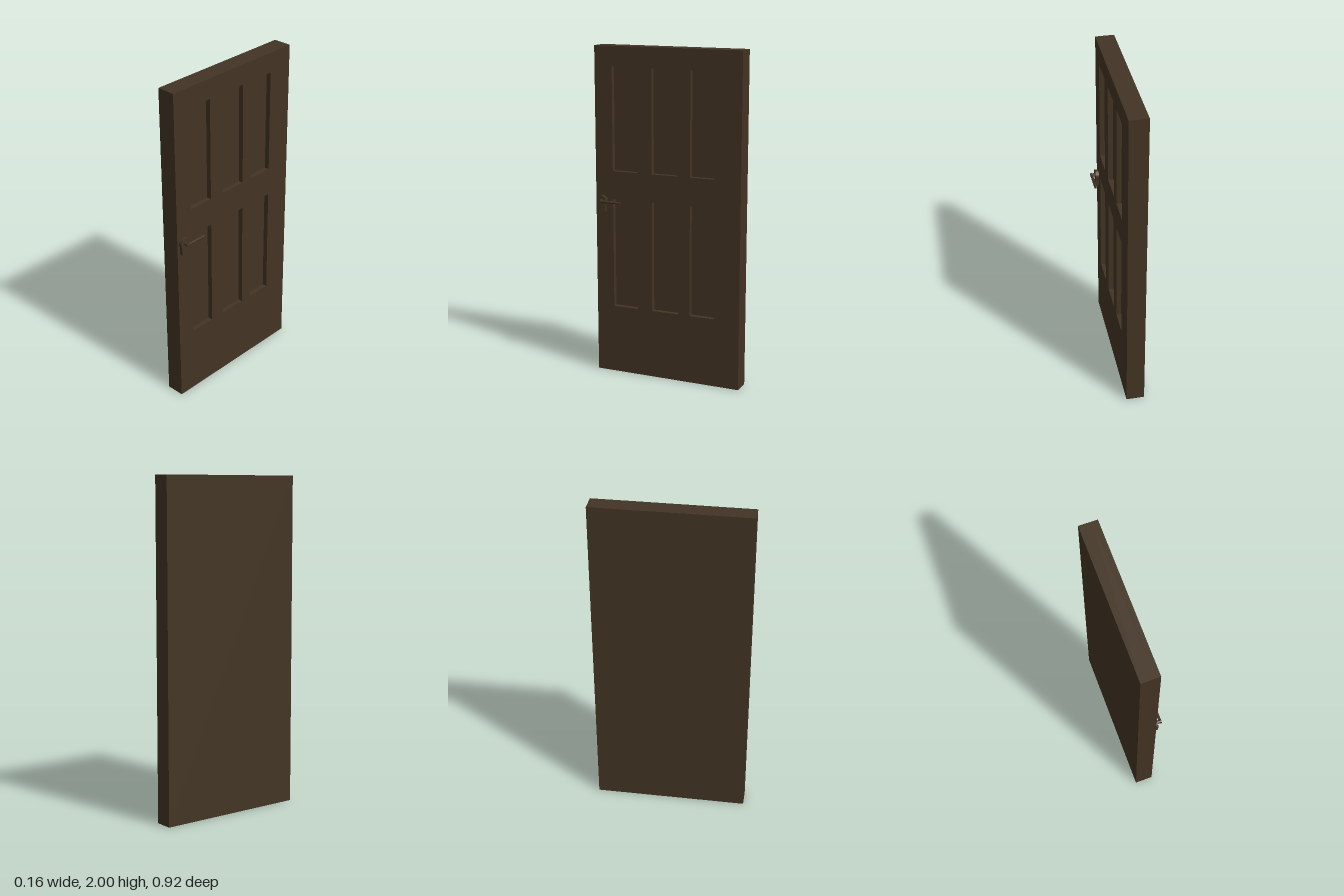
import * as THREE from 'three';

const THICK_BACK = -0.08, FACE = 0.03, RECESS = 0.03, HALF = 0.462;

// Extrude a shape drawn in (-z, y) outwards along +x, starting at x
function extrudeX(shape, x, depth) {
  const geo = new THREE.ExtrudeGeometry(shape, { depth, bevelEnabled: false, curveSegments: 6 });
  geo.rotateY(Math.PI / 2);
  geo.translate(x, 0, 0);
  return geo;
}

// Closed rectangle path
function rect(path, x0, x1, y0, y1) {
  path.moveTo(x0, y0);
  path.lineTo(x1, y0);
  path.lineTo(x1, y1);
  path.lineTo(x0, y1);
  path.closePath();
  return path;
}

export function createModel() {
  const group = new THREE.Group();
  group.name = 'door';
  const wood = new THREE.MeshStandardMaterial({ color: 0x433424, flatShading: true });
  wood.name = 'dark brown';

  const add = (name, geo, parent = group) => {
    const mesh = new THREE.Mesh(geo, wood);
    mesh.name = name;
    parent.add(mesh);
    return mesh;
  };

  // Solid slab behind the panels
  const coreDepth = FACE - RECESS - THICK_BACK;
  const core = new THREE.BoxGeometry(coreDepth, 2, HALF * 2);
  core.translate(THICK_BACK + coreDepth / 2, 1, 0);
  add('doorSlab', core);

  // Face frame with six recessed panels
  const frame = rect(new THREE.Shape(), -HALF, HALF, 0, 2);
  for (const [y0, y1] of [[0.42, 1.09], [1.26, 1.88]]) {
    for (const [x0, x1] of [[-0.35, -0.19], [-0.095, 0.074], [0.148, 0.302]]) {
      frame.holes.push(rect(new THREE.Path(), x0, x1, y0, y1));
    }
  }
  add('panelFrame', extrudeX(frame, FACE - RECESS, RECESS));

  // Handle: keyhole-shaped plate, stem and lever
  const handle = new THREE.Group();
  handle.name = 'handle';
  group.add(handle);
  const hz = 0.419, hy = 1.077, r = 0.032, w = 0.024;
  const a = Math.acos(w / r);
  const plate = new THREE.Shape();
  plate.moveTo(-hz - w + 0.006, 1.0);
  plate.lineTo(-hz + w - 0.006, 1.0);
  plate.lineTo(-hz + w, 1.01);
  plate.absarc(-hz, hy, r, -a, Math.PI + a, false);
  plate.lineTo(-hz - w, 1.01);
  plate.closePath();
  add('handlePlate', extrudeX(plate, FACE, 0.02), handle);

  const stem = new THREE.CylinderGeometry(0.011, 0.011, 0.03, 8);
  stem.rotateZ(Math.PI / 2);
  stem.translate(0.063, hy, hz);
  add('handleStem', stem, handle);

  const lever = new THREE.CylinderGeometry(0.008, 0.008, 0.146, 8);
  lever.rotateX(Math.PI / 2);
  lever.translate(0.071, hy, 0.358);
  add('handleLever', lever, handle);

  return group;
}
